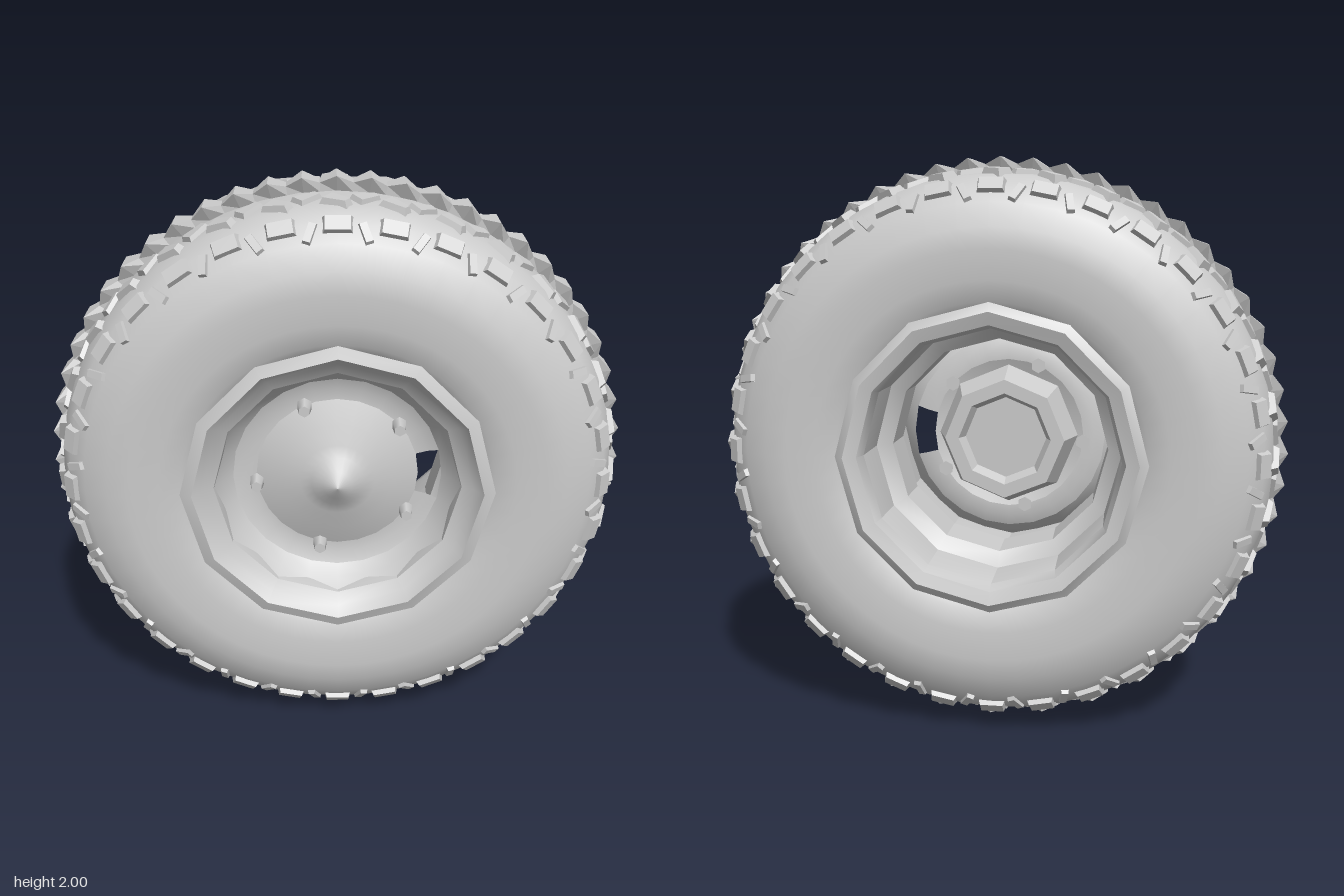
import * as THREE from 'three';
import { mergeGeometries, toCreasedNormals } from 'three/addons/utils/BufferGeometryUtils.js';

const grey = new THREE.MeshStandardMaterial({ color: 0xcccccc, side: THREE.DoubleSide });

// Lathe about the axle (z). Profile points are [radius, z].
function turned(points, sides, start = 0, length = Math.PI * 2) {
  const pts = points.map(([r, z]) => new THREE.Vector2(r, z));
  return new THREE.LatheGeometry(pts, sides, start, length).rotateX(Math.PI / 2);
}

function faceted(geometry) {
  const g = geometry.toNonIndexed();
  g.computeVertexNormals();
  return g;
}

// Rubber block: x along the circumference, y outward, z across the tread.
// Its top is scaled by taper and its leading end is narrowed by skew.
function lug(w, h, d, taper, skew = 0) {
  const g = new THREE.BoxGeometry(w, h, d);
  const p = g.attributes.position;
  for (let i = 0; i < p.count; i++) {
    const k = p.getY(i) > 0 ? taper : 1;
    const s = 1 - skew * (p.getX(i) > 0 ? 1 : -1);
    p.setX(i, p.getX(i) * k);
    p.setZ(i, p.getZ(i) * k * s);
  }
  return g;
}

// Copies of one block around the wheel; place(i) gives radius, z, yaw and tilt.
function ringOf(count, block, place) {
  const parts = [];
  for (let i = 0; i < count; i++) {
    const { r, z, yaw = 0, tilt = 0, offset = 0 } = place(i);
    parts.push(block.clone().rotateY(yaw).rotateX(tilt).translate(0, r, z)
      .rotateZ(((i + offset) / count) * Math.PI * 2));
  }
  return faceted(mergeGeometries(parts));
}

// Toothed rib: every second section of a turned band dips and narrows.
function toothedRib(teeth) {
  const profile = [[0.945, -0.03], [1, -0.056], [1, 0.056], [0.945, 0.03]];
  const g = turned(profile, teeth * 2);
  const p = g.attributes.position;
  for (let i = 0; i < p.count; i++) {
    const section = Math.floor(i / profile.length);
    const onTop = i % profile.length === 1 || i % profile.length === 2;
    if (section % 2 && onTop) {
      p.setXYZ(i, p.getX(i) * 0.975, p.getY(i) * 0.975, p.getZ(i) * 0.55);
    }
  }
  return faceted(g);
}

export function createModel() {
  const wheel = new THREE.Group();
  wheel.name = 'wheel';
  wheel.position.y = 1;
  const add = (name, geometry, parent = wheel) => {
    const mesh = new THREE.Mesh(geometry, grey);
    mesh.name = name;
    parent.add(mesh);
    return mesh;
  };

  // Tyre carcass, symmetric front to back
  const half = [[0.49, 0.29], [0.53, 0.32], [0.6, 0.334], [0.7, 0.338], [0.77, 0.33],
    [0.85, 0.295], [0.905, 0.252], [0.938, 0.19], [0.948, 0.1]];
  const carcass = [...half.map(([r, z]) => [r, -z]), ...half.slice().reverse()];
  add('tyre', turned(carcass, 48));

  // Tread
  const tread = new THREE.Group();
  tread.name = 'tread';
  wheel.add(tread);
  add('centreRib', toothedRib(56), tread);
  for (const side of [1, -1]) {
    const label = side > 0 ? 'front' : 'back';
    // Low zigzag row between the rib and the shoulder
    add(label + 'InnerLugs', ringOf(64, lug(0.1, 0.03, 0.055, 0.75, 0.3), (i) => (
      { r: 0.944, z: side * (i % 2 ? 0.12 : 0.16), yaw: i % 2 ? 0.6 : -0.6, tilt: side * 0.1 })), tread);
    // Sloping blocks along the shoulder, with short bars between them
    add(label + 'ShoulderLugs', ringOf(32, lug(0.1, 0.03, 0.06, 0.8), () => (
      { r: 0.898, z: side * 0.257, tilt: side * 0.85 })), tread);
    add(label + 'ShoulderBars', ringOf(32, lug(0.03, 0.025, 0.08, 0.8), (i) => (
      { r: 0.878, z: side * 0.272, yaw: i % 2 ? 0.4 : -0.4, tilt: side * 0.88, offset: 0.5 })), tread);
  }

  // Rim: back lip, open barrel with a raised inner band, front lip and well
  const rim = new THREE.Group();
  rim.name = 'rim';
  wheel.add(rim);
  const barrel = [[0.53, -0.32], [0.5, -0.34], [0.455, -0.325], [0.44, -0.28], [0.435, -0.12],
    [0.385, -0.08], [0.38, 0.06], [0.415, 0.1], [0.415, 0.24], [0.42, 0.28], [0.46, 0.305],
    [0.49, 0.34], [0.53, 0.325]];
  add('barrel', toCreasedNormals(turned(barrel, 12), 0.5), rim);

  // Dished face: outer slope, band with one window, then the inner dish and hub
  const windowHalf = Math.PI / 12;
  add('dishSlope', turned([[0.425, 0.28], [0.395, 0.225], [0.36, 0.185]], 24), rim);
  add('windowedBand', turned([[0.36, 0.185], [0.32, 0.17], [0.28, 0.17]], 22,
    Math.PI / 2 + windowHalf, Math.PI * 2 - windowHalf * 2), rim);
  add('dish', turned([[0.28, 0.17], [0.2, 0.2], [0.13, 0.22], [0.09, 0.235],
    [0.05, 0.265], [0, 0.29]], 24), rim);

  // Cup behind the hub, seen through the open back
  add('hubCup', toCreasedNormals(turned(
    [[0.15, 0.09], [0.17, 0.05], [0.22, 0.05], [0.26, 0.165]], 8), 0.5), rim);
  add('cupFloor', turned([[0, 0.09], [0.15, 0.09]], 8), rim);

  // Five wheel nuts
  const nut = new THREE.CylinderGeometry(0.02, 0.028, 0.06, 6).rotateX(Math.PI / 2);
  for (let i = 0; i < 5; i++) {
    const a = 0.72 + (i * Math.PI * 2) / 5;
    add('wheelNut', nut, rim).position.set(0.28 * Math.cos(a), 0.28 * Math.sin(a), 0.195);
  }
  return wheel;
}
